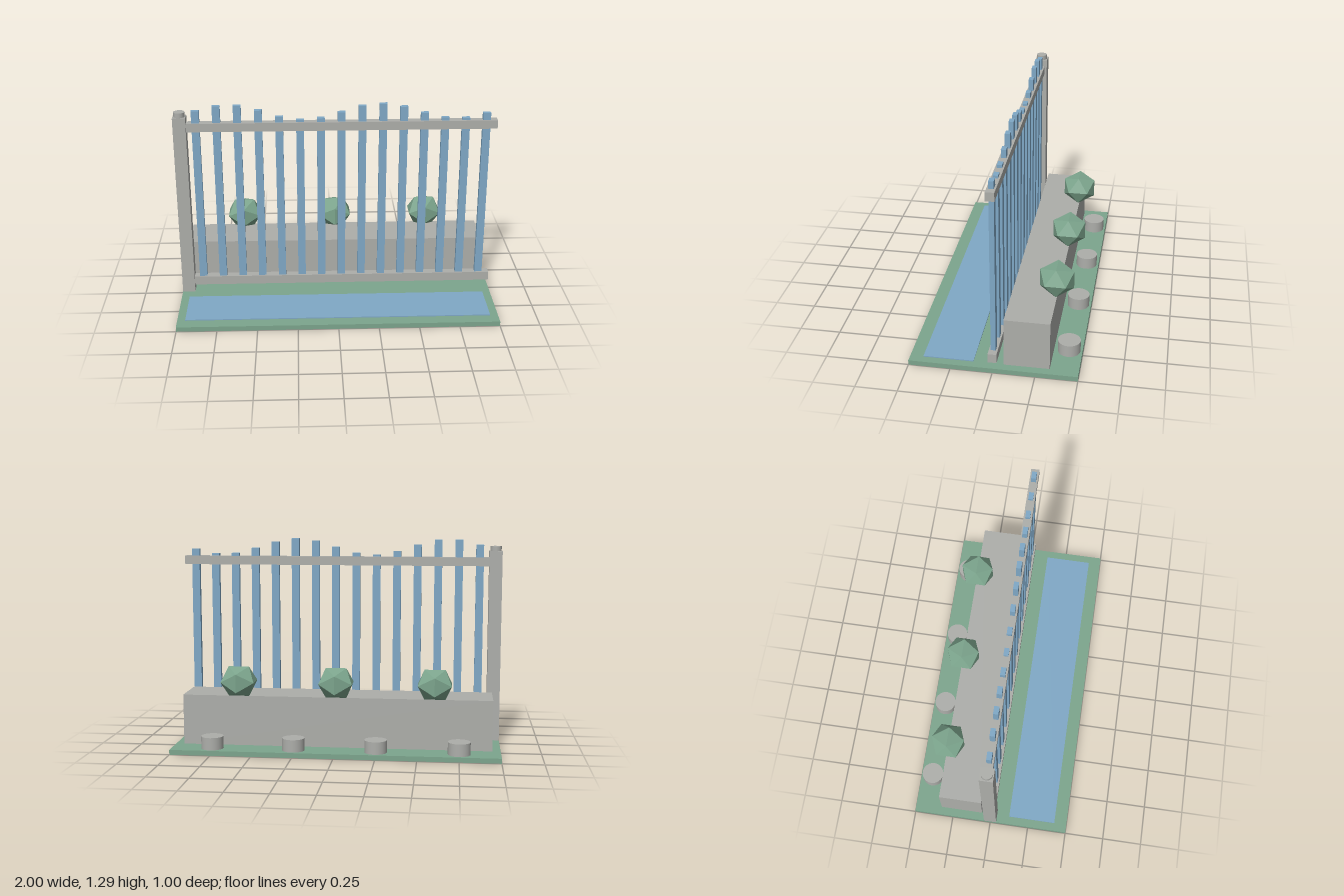
import * as THREE from 'three';

export function createModel() {
  const model = new THREE.Group();
  model.name = 'gardenFence';

  const material = (name, color) => {
    const m = new THREE.MeshStandardMaterial({ color });
    m.name = name;
    return m;
  };
  const green = material('gardenGreen', 0x7ca58d);
  const grey = material('stoneGrey', 0xadaeaa);
  const blue = material('slatBlue', 0x7fa8c6);

  const add = (name, geometry, mat, x = 0, y = 0, z = 0) => {
    const mesh = new THREE.Mesh(geometry, mat);
    mesh.name = name;
    mesh.position.set(x, y, z);
    model.add(mesh);
    return mesh;
  };
  // Box given by its lower and upper limits on each axis
  const box = (name, mat, [x0, x1], [y0, y1], [z0, z1]) =>
    add(name, new THREE.BoxGeometry(x1 - x0, y1 - y0, z1 - z0), mat,
      (x0 + x1) / 2, (y0 + y1) / 2, (z0 + z1) / 2);

  // Ground slab, pool and planter wall
  box('groundSlab', green, [-1, 1], [0, 0.03], [-0.5, 0.5]);
  box('poolSurface', blue, [-0.95, 0.95], [0.03, 0.036], [0.12, 0.42]);
  box('planterWall', grey, [-0.95, 0.95], [0.03, 0.34], [-0.33, -0.06]);

  // Post with round cap
  box('post', grey, [-1, -0.92], [0.03, 1.22], [-0.04, 0.04]);
  add('postCap', new THREE.CylinderGeometry(0.035, 0.035, 0.03, 12), grey, -0.96, 1.235, 0);

  // Rails
  box('bottomRail', grey, [-0.96, 1], [0.073, 0.13], [-0.026, 0.026]);
  box('topRail', grey, [-0.96, 1], [1.126, 1.18], [-0.026, 0.026]);

  // Slats whose tops follow a wave
  for (let i = 0; i < 15; i++) {
    const x = -0.863 + i * 0.1283;
    const top = 1.242 + 0.05 * Math.sin(0.3 + i * 0.85);
    box('slat', blue, [x - 0.024, x + 0.024], [0.1, top], [-0.015, 0.015]);
  }

  // Faceted shrubs on the planter
  for (const x of [-0.6, 0, 0.6]) {
    const shrub = add('shrub', new THREE.IcosahedronGeometry(0.12, 0), green, x, 0.43, -0.322);
    shrub.scale.y = 0.9;
  }

  // Round stools along the back
  for (const x of [-0.75, -0.25, 0.25, 0.75]) {
    add('stool', new THREE.CylinderGeometry(0.068, 0.068, 0.076, 24), grey, x, 0.068, -0.42);
  }

  return model;
}
